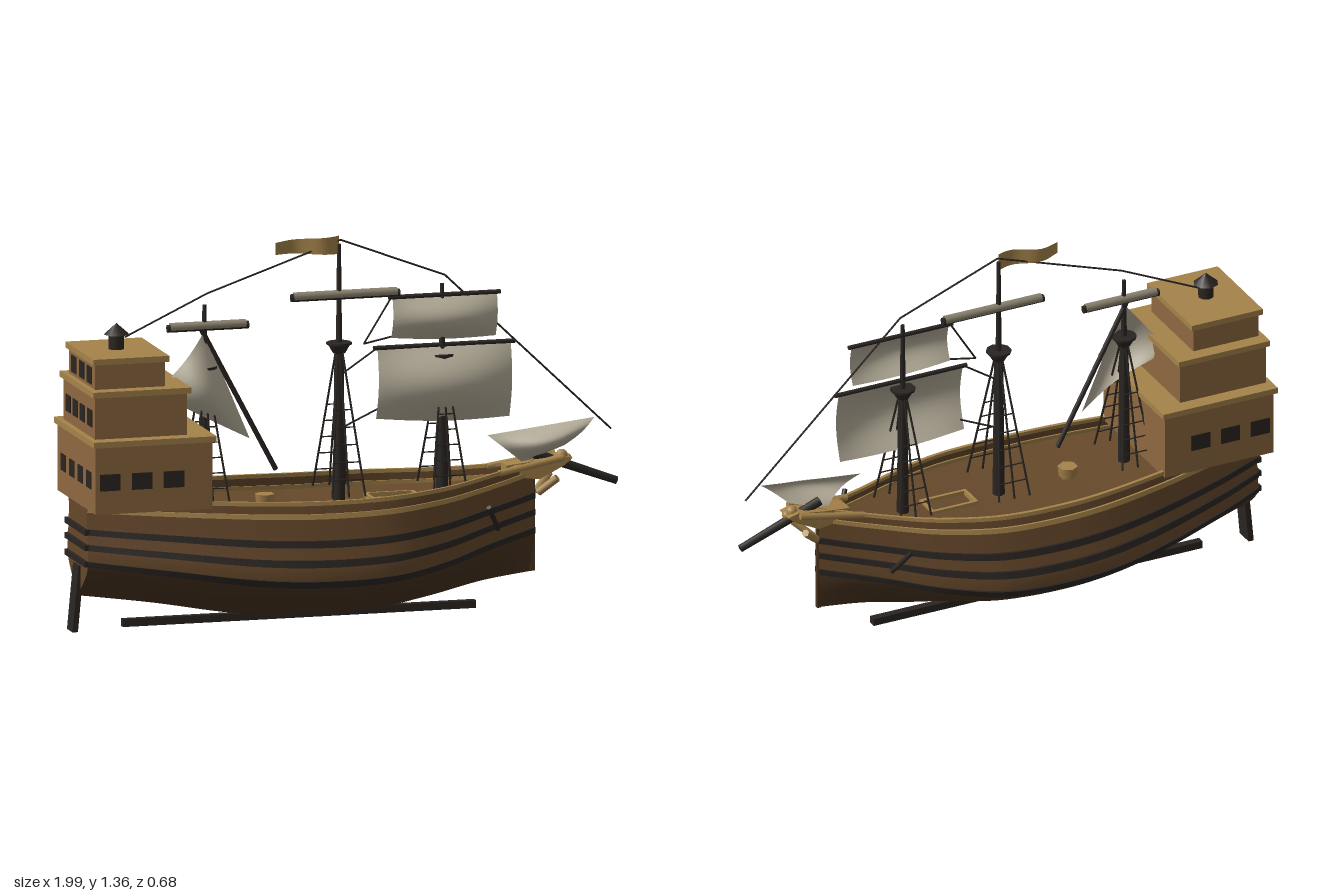
import * as THREE from 'three';

const mat = (color) => new THREE.MeshStandardMaterial({ color, side: THREE.DoubleSide });
const M = {
  hull: mat(0x65472a), bottom: mat(0x4a3420), black: mat(0x2a2522), castle: mat(0x8e6840),
  trim: mat(0xa5834a), deck: mat(0x66492b), sail: mat(0xb8b09c), furled: mat(0x8c8370),
};
const V = (x, y, z = 0) => new THREE.Vector3(x, y, z);

function curve1D(points) {
  const c = new THREE.SplineCurve(points.map((p) => new THREE.Vector2(...p)));
  const s = c.getPoints(400);
  return (x) => {
    let i = 1;
    while (i < s.length - 1 && s[i].x < x) i++;
    const a = s[i - 1], b = s[i];
    return a.y + (b.y - a.y) * THREE.MathUtils.clamp((x - a.x) / (b.x - a.x), 0, 1);
  };
}

// Hull lines: sheer height, bottom height, half breadth, and breadth factor down each section
const sheer = curve1D([[-0.97, 0.49], [-0.55, 0.477], [-0.1, 0.465], [0.3, 0.475], [0.55, 0.5], [0.69, 0.525]]);
const keelLine = curve1D([[-0.97, 0.13], [-0.7, 0.09], [-0.4, 0.037], [-0.15, 0.02], [0.1, 0.027], [0.3, 0.06], [0.5, 0.105], [0.69, 0.13]]);
const breadth = curve1D([[-0.97, 0.13], [-0.8, 0.2], [-0.57, 0.27], [-0.32, 0.318], [-0.12, 0.328], [0.1, 0.308], [0.3, 0.232], [0.45, 0.145], [0.58, 0.068], [0.69, 0.006]]);
const fullness = curve1D([[0, 0.82], [0.3, 0.91], [0.62, 1], [0.77, 0.76], [0.89, 0.38], [1, 0.02]]);
const XS = Array.from({ length: 49 }, (_, i) => -0.97 + (1.66 * i) / 48);
const skin = (x, v, side, out = 0) =>
  V(x, sheer(x) + (keelLine(x) - sheer(x)) * v, side * (breadth(x) * fullness(v) + out));

function loft(rows) {
  const n = rows[0].length, idx = [];
  for (let i = 0; i < rows.length - 1; i++)
    for (let j = 0; j < n - 1; j++) {
      const a = i * n + j, b = a + n;
      idx.push(a, b, a + 1, b, b + 1, a + 1);
    }
  const g = new THREE.BufferGeometry().setFromPoints(rows.flat());
  g.setIndex(idx);
  g.computeVertexNormals();
  return g;
}

export function createModel() {
  const root = new THREE.Group();
  const add = (name, geo, material, x = 0, y = 0, z = 0) => {
    const m = new THREE.Mesh(geo, material);
    m.name = name;
    m.position.set(x, y, z);
    root.add(m);
    return m;
  };
  const box = (name, material, x0, x1, y0, y1, hz, z = 0) =>
    add(name, new THREE.BoxGeometry(x1 - x0, y1 - y0, 2 * hz), material, (x0 + x1) / 2, (y0 + y1) / 2, z);
  const rod = (name, a, b, r0, r1 = r0, material = M.black, sides = 10) => {
    const m = add(name, new THREE.CylinderGeometry(r1, r0, a.distanceTo(b), sides), material);
    m.position.copy(a).add(b).multiplyScalar(0.5);
    m.quaternion.setFromUnitVectors(V(0, 1), b.clone().sub(a).normalize());
    return m;
  };
  const rope = (a, b, r = 0.003) => rod('rope', a, b, r, r, M.black, 5);

  // Hull sides, bottom, wales and rails
  const plank = (name, side, v0, v1, material, steps = 8) =>
    add(name, loft(XS.map((x) => Array.from({ length: steps + 1 }, (_, j) => skin(x, v0 + ((v1 - v0) * j) / steps, side)))), material);
  const strake = (name, side, v0, v1, out, material) =>
    add(name, loft(XS.map((x) => [skin(x, v0, side, -0.006), skin(x, v0, side, out), skin(x, v1, side, out),
      skin(x, v1, side, -0.006), skin(x, v0, side, -0.006)])).toNonIndexed(), material).geometry.computeVertexNormals();
  for (const side of [-1, 1]) {
    plank('hullSide', side, 0, 0.63, M.hull);
    plank('hullBottom', side, 0.63, 1, M.bottom, 12);
    for (const v of [0.29, 0.44, 0.605]) strake('wale', side, v, v + 0.055, 0.009, M.black);
    strake('rail', side, -0.012, 0.02, 0.007, M.trim);
    strake('rubbingStrake', side, 0.085, 0.125, 0.008, M.trim);
  }
  add('deck', loft(XS.map((x) => [1, -1].map((s) => {
    const p = skin(x, 0.12, s, -0.003);
    if (breadth(x) < 0.01) p.z = 0;
    return p;
  }))), M.deck);
  const section = Array.from({ length: 15 }, (_, j) => j / 14);
  add('transom', loft(section.map((v) => [skin(-0.97, v, 1), skin(-0.97, v, -1)])), M.hull);
  for (const v of [0.29, 0.44, 0.605]) {
    const y = skin(-0.97, v, 1).y;
    box('transomWale', M.black, -0.982, -0.965, y - 0.02, y, 0.13);
  }
  box('keel', M.black, -0.81, 0.475, 0.01, 0.037, 0.014);
  box('stem', M.bottom, 0.675, 0.692, 0.13, 0.46, 0.007);
  const rudder = new THREE.Shape([[-1, 0.005], [-0.98, 0.005], [-0.958, 0.24], [-0.978, 0.24]].map((p) => new THREE.Vector2(...p)));
  add('rudder', new THREE.ExtrudeGeometry(rudder, { depth: 0.07, bevelEnabled: false }), M.black, 0, 0, -0.035);

  // Stern castle in three tiers: x0, x1, y0, y1, half width, rear windows
  for (const [x0, x1, y0, y1, hz, n] of [
    [-0.975, -0.55, 0.46, 0.705, 0.24, 4], [-0.965, -0.63, 0.7, 0.875, 0.2, 4], [-0.955, -0.7, 0.88, 0.985, 0.163, 3]]) {
    box('castleTier', M.castle, x0, x1, y0, y1, hz);
    box('castleRoof', M.trim, x0 - 0.01, x1 + 0.012, y1 - 0.006, y1 + 0.015, hz + 0.014);
    const y = n === 4 && y0 < 0.5 ? 0.572 : (y0 + y1) / 2;
    for (let i = 0; i < n; i++)
      box('rearWindow', M.black, x0 - 0.003, x0 + 0.01, y - 0.03, y + 0.03, 0.03, ((i + 0.5) / n - 0.5) * 2 * hz * 0.9);
  }
  for (const x of [-0.922, -0.806, -0.69])
    box('sideWindow', M.black, x - 0.037, x + 0.037, 0.543, 0.602, 0.243);

  // Lantern
  add('lanternBody', new THREE.CylinderGeometry(0.028, 0.028, 0.06, 8), M.black, -0.83, 1.03);
  add('lanternRoof', new THREE.ConeGeometry(0.045, 0.04, 8), M.black, -0.83, 1.072);

  // Masts with tops, shrouds and ratlines: x, height, top platform height, shroud spread
  for (const [x, h, top, sz] of [[-0.51, 1.14, 0.89, 0.11], [-0.02, 1.33, 0.95, 0.125], [0.355, 1.17, 0.89, 0.105]]) {
    rod('lowerMast', V(x, 0.4), V(x, top), 0.022, 0.016);
    rod('topMast', V(x, top), V(x, h), 0.011, 0.007);
    add('mastTop', new THREE.CylinderGeometry(0.042, 0.022, 0.035, 10), M.black, x, top + 0.01);
    add('mastTopRim', new THREE.CylinderGeometry(0.045, 0.045, 0.008, 10), M.black, x, top + 0.027);
    for (const s of [-1, 1]) {
      const at = (k, t) => V(x + k * (0.06 - 0.052 * t), 0.45 + (top - 0.45) * t, s * (sz - (sz - 0.012) * t));
      for (const k of [-1, 0, 1]) rope(at(k, 0), at(k, 1), 0.004);
      for (let i = 1; i < 6; i++) rope(at(-1, i * 0.12), at(1, i * 0.12), 0.0025);
    }
  }

  // Sails: bilinear patches between four corners, swelling toward +z
  const sail = (name, corners, bulge, sag = 0) => {
    const [a, b, c, d] = corners.map((p) => V(...p));
    const N = 14;
    add(name, loft(Array.from({ length: N + 1 }, (_, i) => Array.from({ length: N + 1 }, (_, j) => {
      const u = i / N, v = j / N;
      const p = a.clone().lerp(b, u).lerp(d.clone().lerp(c, u), v);
      p.z += bulge * Math.sin(Math.PI * v) * (0.35 + 0.65 * Math.sin(Math.PI * u));
      p.y += sag * v * Math.sin(Math.PI * u);
      return p;
    }))), M.sail);
  };
  const yard = (x0, x1, y) => rod('yard', V(x0, y), V(x1, y), 0.008);
  sail('foreCourse', [[0.12, 0.95], [0.605, 0.95], [0.6, 0.685], [0.115, 0.7]], 0.075, -0.012);
  yard(0.105, 0.62, 0.952);
  sail('foreTopsail', [[0.175, 1.125], [0.555, 1.125], [0.55, 0.975], [0.17, 0.985]], 0.05, -0.008);
  yard(0.16, 0.567, 1.13);
  sail('lateenSail', [[-0.51, 1.045], [-0.345, 0.655], [-0.625, 0.8], [-0.65, 0.87]], 0.075);
  rod('lateenYard', V(-0.52, 1.05), V(-0.25, 0.54), 0.009);
  sail('spritSail', [[0.52, 0.62], [0.91, 0.665], [0.8, 0.57], [0.65, 0.515]], 0.07);
  for (const [x0, x1, y] of [[-0.195, 0.2, 1.15], [-0.645, -0.35, 1.065]]) {
    rod('furledSail', V(x0 + 0.01, y), V(x1 - 0.01, y), 0.016, 0.016, M.furled);
    rod('furledYard', V(x0, y - 0.004), V(x1, y - 0.004), 0.014);
  }

  // Pennant
  add('pennant', loft(Array.from({ length: 17 }, (_, i) => {
    const t = i / 16, z = 0.016 * Math.sin(t * 7);
    return [V(-0.02 - 0.235 * t, 1.36 - 0.012 * t, z), V(-0.02 - 0.235 * t, 1.295 + 0.01 * t, z)];
  })), M.trim);

  // Stays and braces
  const run = (...p) => p.slice(1).forEach((q, i) => rope(V(...p[i]), V(...q), 0.0035));
  run([-0.8, 1.04], [-0.5, 1.18], [-0.015, 1.345], [0.365, 1.2], [0.97, 0.62]);
  run([0.17, 1.13], [0.07, 0.97], [0.17, 0.99]);
  run([0.115, 0.95], [-0.02, 0.86]);
  run([0.13, 0.74], [0, 0.68]);

  // Beakhead, figurehead and bowsprit
  const beak = new THREE.Shape([[0.58, 0.475], [0.7, 0.46], [0.79, 0.505], [0.82, 0.53], [0.78, 0.54], [0.68, 0.525], [0.58, 0.515]]
    .map((p) => new THREE.Vector2(...p)));
  add('beakhead', new THREE.ExtrudeGeometry(beak, { depth: 0.07, bevelEnabled: false }), M.trim, 0, 0, -0.035);
  for (const s of [-1, 1]) {
    rod('beakRail', V(0.54, 0.495, s * 0.07), V(0.78, 0.535, s * 0.05), 0.012, 0.012, M.trim, 6);
    rod('beakBrace', V(0.7, 0.41, s * 0.015), V(0.76, 0.465, s * 0.05), 0.014, 0.014, M.trim, 6);
    rod('anchor', V(0.45, 0.415, s * 0.262), V(0.5, 0.325, s * 0.205), 0.009);
  }
  for (const [x, y, r] of [[0.79, 0.535, 0.022], [0.81, 0.525, 0.016], [0.765, 0.505, 0.02]])
    add('figurehead', new THREE.SphereGeometry(r, 10, 8), M.trim, x, y);
  rod('bowsprit', V(0.68, 0.55), V(0.99, 0.435), 0.018, 0.014);

  // Deck fittings
  const hatchY = 0.418;
  for (const s of [-1, 1]) {
    box('hatchSide', M.trim, 0.09, 0.26, hatchY - 0.01, hatchY + 0.012, 0.006, s * 0.045);
    box('hatchEnd', M.trim, 0.175 + s * 0.085 - 0.006, 0.175 + s * 0.085 + 0.006, hatchY - 0.01, hatchY + 0.012, 0.05);
  }
  add('capstan', new THREE.CylinderGeometry(0.036, 0.03, 0.05, 6), M.trim, -0.29, 0.43);
  return root;
}
